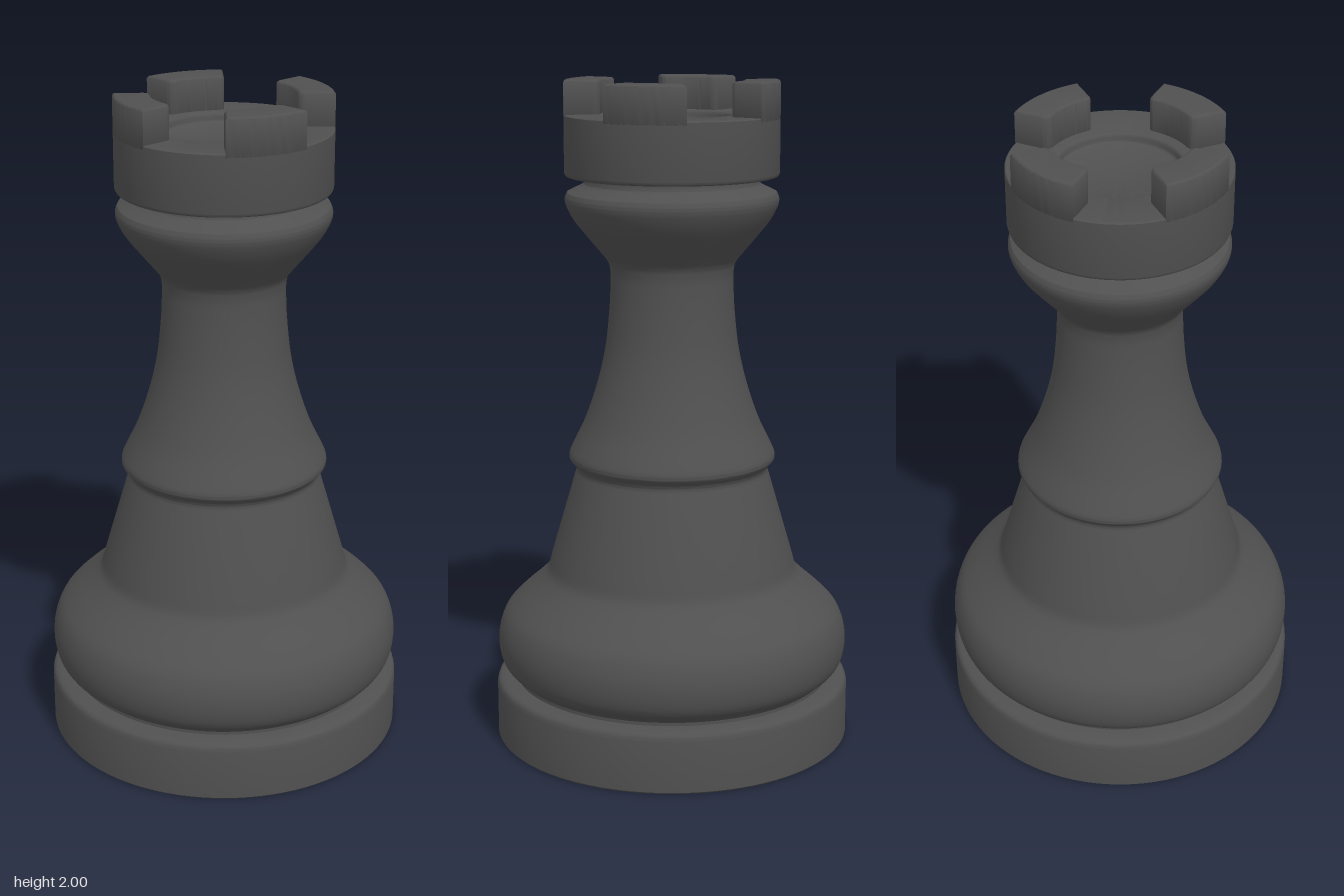
import * as THREE from 'three';
import { toCreasedNormals } from 'three/addons/utils/BufferGeometryUtils.js';

const SEGMENTS = 96;
const v = ([r, y]) => new THREE.Vector2(r, y);

// Straight runs keep their corners; curved runs are smoothed with a spline.
const straight = (...pts) => pts.map(v);
const curved = (n, ...pts) => new THREE.SplineCurve(pts.map(v)).getPoints(n);

function turned(name, points, material) {
  const geometry = toCreasedNormals(new THREE.LatheGeometry(points, SEGMENTS), 0.6);
  const mesh = new THREE.Mesh(geometry, material);
  mesh.name = name;
  return mesh;
}

// One raised block of the battlement: a 45 degree ring sector with soft edges.
function merlonGeometry() {
  const bevel = 0.01, inner = 0.21, outer = 0.318, corner = 0.012;
  const r0 = inner + bevel, r1 = outer - bevel;
  const a0 = bevel / outer, a1 = Math.PI / 4 - bevel / outer;
  const at = (r, a) => [r * Math.cos(a), r * Math.sin(a)];
  const da = corner / r0;
  const shape = new THREE.Shape();
  shape.moveTo(...at(r1, a0));
  shape.absarc(0, 0, r1, a0, a1, false);
  shape.lineTo(...at(r0 + corner, a1));
  shape.quadraticCurveTo(...at(r0, a1), ...at(r0, a1 - da));
  shape.absarc(0, 0, r0, a1 - da, a0 + da, true);
  shape.quadraticCurveTo(...at(r0, a0), ...at(r0 + corner, a0));
  shape.closePath();
  const geometry = new THREE.ExtrudeGeometry(shape, {
    depth: 0.1, bevelEnabled: true, bevelSize: bevel, bevelThickness: bevel,
    bevelSegments: 4, curveSegments: 14,
  });
  geometry.rotateX(Math.PI / 2);
  geometry.translate(0, 2 - bevel, 0);
  return toCreasedNormals(geometry, 0.6);
}

export function createModel() {
  const model = new THREE.Group();
  model.name = 'chessRook';
  const charcoal = new THREE.MeshStandardMaterial({ color: 0x505050 });
  charcoal.name = 'charcoal';

  // Foot disc
  model.add(turned('foot', [
    ...straight([0, 0], [0.538, 0], [0.543, 0.005]),
    ...curved(8, [0.543, 0.16], [0.537, 0.177], [0.52, 0.185]),
    ...straight([0.45, 0.185]),
  ], charcoal));

  // Bulging belly, tapered skirt, collar ring, neck and flared cup
  model.add(turned('body', [
    ...straight([0.482, 0.18], [0.482, 0.195]),
    ...curved(40, [0.49, 0.205], [0.515, 0.225], [0.53, 0.255], [0.536, 0.3], [0.53, 0.347],
      [0.51, 0.393], [0.47, 0.435], [0.43, 0.47], [0.395, 0.503], [0.38, 0.525], [0.37, 0.56]),
    ...curved(44, [0.296, 0.815], [0.29, 0.835], [0.295, 0.85], [0.311, 0.868], [0.311, 0.885],
      [0.3, 0.91], [0.262, 0.99], [0.225, 1.1], [0.2, 1.21], [0.187, 1.33], [0.183, 1.42]),
    ...curved(30, [0.184, 1.44], [0.19, 1.465], [0.21, 1.492], [0.25, 1.54], [0.29, 1.59],
      [0.312, 1.63], [0.317, 1.655], [0.31, 1.673]),
    ...curved(8, [0.275, 1.69], [0.262, 1.698], [0.258, 1.71]),
    ...straight([0.258, 1.73]),
  ], charcoal));

  // Drum with a shallow round recess in its floor
  model.add(turned('towerHead', [
    ...straight([0.25, 1.72]),
    ...curved(6, [0.308, 1.72], [0.315, 1.723], [0.318, 1.731]),
    ...straight([0.318, 1.897], [0.315, 1.9]),
    ...curved(6, [0.184, 1.9], [0.177, 1.897], [0.174, 1.89]),
    ...curved(6, [0.174, 1.882], [0.171, 1.875], [0.164, 1.872]),
    ...straight([0, 1.872]),
  ], charcoal));

  // Four battlement blocks
  const geometry = merlonGeometry();
  for (let i = 0; i < 4; i++) {
    const merlon = new THREE.Mesh(geometry, charcoal);
    merlon.name = `merlon${i + 1}`;
    merlon.rotation.y = i * Math.PI / 2;
    model.add(merlon);
  }
  return model;
}
